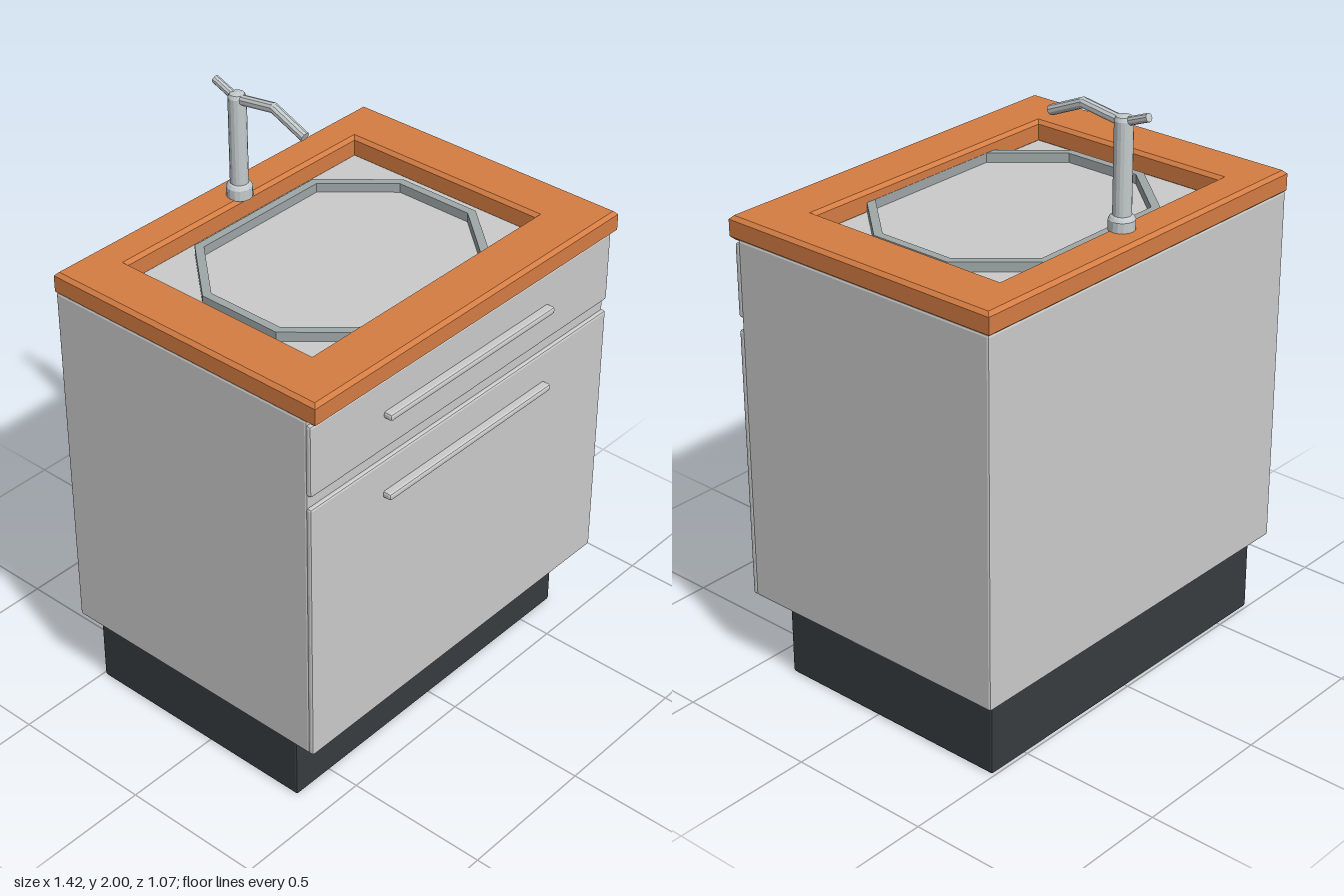
import * as THREE from 'three';
import { RoundedBoxGeometry } from 'three/addons/geometries/RoundedBoxGeometry.js';

const paint = (color, flatShading = true) => new THREE.MeshStandardMaterial({ color, flatShading });
const grey = paint(0xcccccc);
const wood = paint(0xd57d43);
const dark = paint(0x373c40);
const steel = paint(0x9fa7a8);
const chrome = paint(0xc4cacc);

// Box with chamfered edges, given by its limits on each axis
function block(name, material, [x0, x1], [y0, y1], [z0, z1], chamfer) {
  const geometry = new RoundedBoxGeometry(x1 - x0, y1 - y0, z1 - z0, 1, chamfer);
  const mesh = new THREE.Mesh(geometry, material);
  mesh.position.set((x0 + x1) / 2, (y0 + y1) / 2, (z0 + z1) / 2);
  mesh.name = name;
  return mesh;
}

// Ground-plan points (x, z) for an extrusion that is later laid flat
const plan = (points) => points.map(([x, z]) => new THREE.Vector2(x, -z));
const rect = (x, z0, z1) => plan([[-x, z1], [x, z1], [x, z0], [-x, z0]]);
const octagon = (xIn, xOut, zIn, zOut) => plan([
  [-xIn, zOut], [xIn, zOut], [xOut, zIn], [xOut, -zIn],
  [xIn, -zOut], [-xIn, -zOut], [-xOut, -zIn], [-xOut, zIn],
]);

// Flat slab with an opening, its underside at the given height
function frame(name, material, outline, opening, y, options) {
  const shape = new THREE.Shape(outline);
  shape.holes.push(new THREE.Path(opening));
  const geometry = new THREE.ExtrudeGeometry(shape, options);
  geometry.rotateX(-Math.PI / 2);
  const mesh = new THREE.Mesh(geometry, material);
  mesh.position.y = y;
  mesh.name = name;
  return mesh;
}

// Round bar between two points
function rod(name, material, from, to, r0, r1 = r0) {
  const dir = to.clone().sub(from);
  const mesh = new THREE.Mesh(new THREE.CylinderGeometry(r1, r0, dir.length(), 10), material);
  mesh.position.copy(from).add(to).multiplyScalar(0.5);
  mesh.quaternion.setFromUnitVectors(new THREE.Vector3(0, 1, 0), dir.normalize());
  mesh.name = name;
  return mesh;
}

function createFaucet() {
  const faucet = new THREE.Group();
  faucet.name = 'faucet';
  const z = -0.435;

  // Collar and column turned as one profile
  const profile = [
    [0, 0], [0.043, 0], [0.043, 0.036], [0.036, 0.046], [0.03, 0.05],
    [0.03, 0.35], [0.024, 0.362], [0, 0.366],
  ].map(([r, y]) => new THREE.Vector2(r, y));
  const column = new THREE.Mesh(new THREE.LatheGeometry(profile, 16), chrome);
  column.position.set(0, 1.607, z);
  column.name = 'column';
  faucet.add(column);

  // Bent spout to the front, short lever to the back
  const at = (y, pz) => new THREE.Vector3(0, y, pz);
  const bend = at(1.973, -0.28);
  faucet.add(rod('spoutNeck', chrome, at(1.95, z), bend, 0.017));
  faucet.add(rod('spoutTip', chrome, bend, at(1.918, -0.153), 0.017));
  faucet.add(rod('lever', chrome, at(1.95, z), at(1.987, -0.528), 0.014));
  const elbow = new THREE.Mesh(new THREE.SphereGeometry(0.017, 10, 8), chrome);
  elbow.position.copy(bend);
  elbow.name = 'spoutElbow';
  faucet.add(elbow);
  return faucet;
}

export function createModel() {
  const model = new THREE.Group();
  model.name = 'sinkCabinet';

  // Recessed plinth and cabinet carcass
  model.add(block('plinth', dark, [-0.657, 0.657], [0, 0.29], [-0.492, 0.387], 0.008));
  model.add(block('carcass', grey, [-0.709, 0.709], [0.277, 1.54], [-0.533, 0.49], 0.008));

  // Drawer and door fronts, each with a bar handle
  const fronts = [
    ['drawer', 1.275, 1.525, 1.4],
    ['door', 0.277, 1.232, 1.11],
  ];
  for (const [name, y0, y1, handleY] of fronts) {
    model.add(block(name + 'Front', grey, [-0.709, 0.709], [y0, y1], [0.483, 0.505], 0.008));
    model.add(block(name + 'Handle', grey, [-0.39, 0.39],
      [handleY - 0.012, handleY + 0.012], [0.5, 0.535], 0.008));
  }

  // Countertop with chamfered edges and a rectangular opening
  const c = 0.012;
  model.add(frame('countertop', wood, rect(0.698, -0.523, 0.513), rect(0.533, -0.42, 0.355), 1.53 + c,
    { depth: 0.08 - 2 * c, bevelSize: c, bevelThickness: c, bevelSegments: 1 }));

  // Eight-sided basin rim standing on the sink floor
  model.add(frame('basinRim', steel, octagon(0.273, 0.465, 0.15, 0.37), octagon(0.26, 0.437, 0.14, 0.342),
    1.535, { depth: 0.037, bevelEnabled: false }));

  model.add(createFaucet());
  return model;
}
